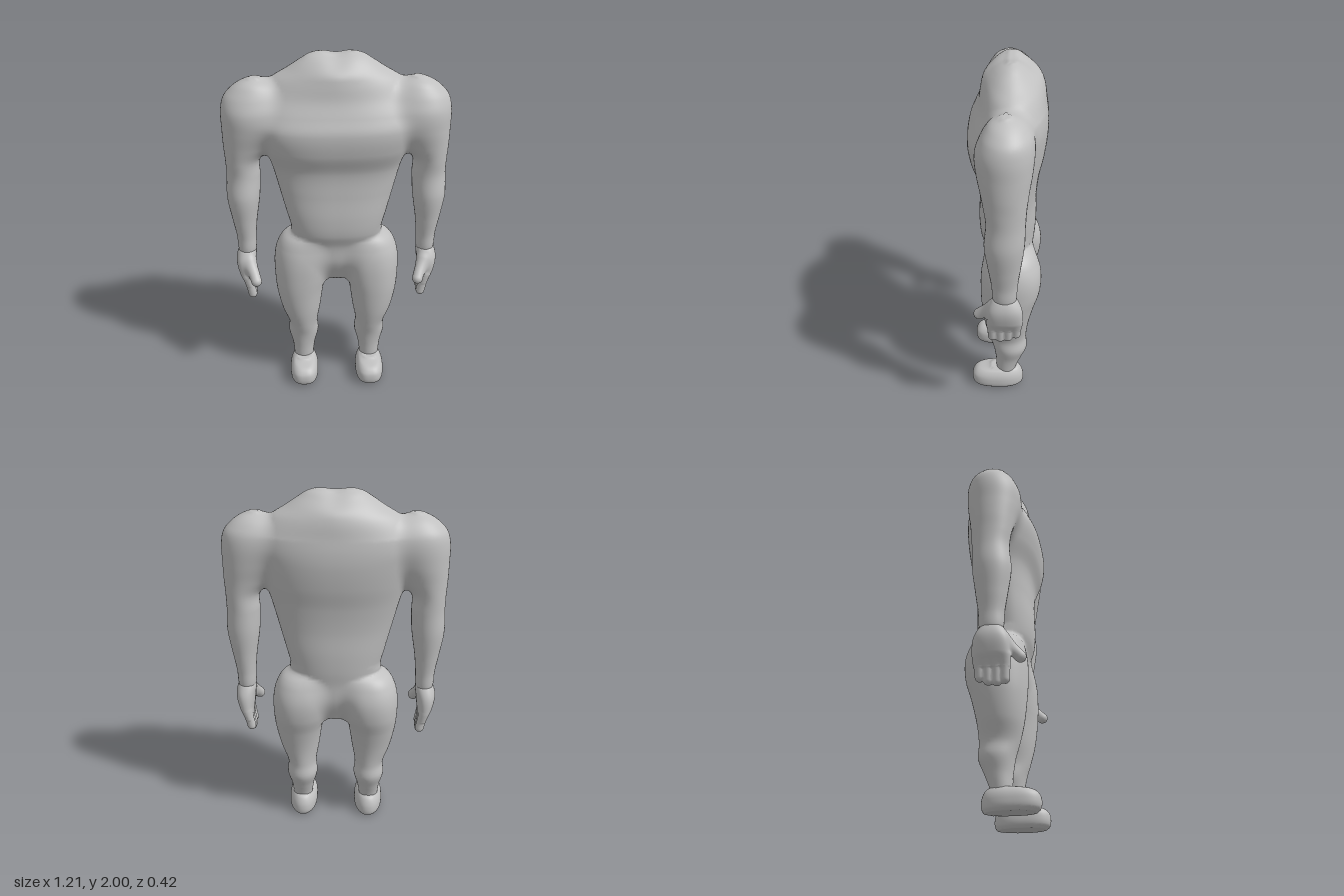
import * as THREE from 'three';

// Cross-sections, top to bottom: [y, centre x, half width, front z, back z, front squareness]
const TORSO = [
  [2.0, 0, 0.1, 0.01, -0.05, 2], [1.985, 0, 0.145, 0.045, -0.08, 2], [1.96, 0, 0.185, 0.08, -0.11, 2],
  [1.91, 0, 0.26, 0.125, -0.165, 1.8], [1.86, 0, 0.34, 0.14, -0.188, 1.8], [1.78, 0, 0.4, 0.155, -0.2, 2.1],
  [1.7, 0, 0.42, 0.185, -0.21, 2.6], [1.62, 0, 0.41, 0.212, -0.21, 2.9], [1.5, 0, 0.38, 0.2, -0.195, 2.8],
  [1.38, 0, 0.345, 0.16, -0.17, 2.6], [1.24, 0, 0.31, 0.155, -0.155, 2.5], [1.1, 0, 0.275, 0.16, -0.155, 2.5],
  [1.0, 0, 0.25, 0.152, -0.15, 2.5], [0.92, 0, 0.24, 0.125, -0.14, 2.4], [0.8, 0, 0.2, 0.11, -0.13, 2.2],
  [0.67, 0, 0.1, 0.05, -0.08, 2],
];
const ARM = [
  [1.87, 0.43, 0.03, 0.03, -0.025, 2], [1.845, 0.435, 0.075, 0.075, -0.07, 2], [1.815, 0.44, 0.11, 0.1, -0.1, 2],
  [1.77, 0.45, 0.138, 0.125, -0.125, 2], [1.7, 0.46, 0.145, 0.148, -0.135, 2], [1.6, 0.475, 0.13, 0.143, -0.13, 2],
  [1.5, 0.495, 0.108, 0.125, -0.115, 2], [1.42, 0.511, 0.087, 0.11, -0.105, 2], [1.33, 0.508, 0.088, 0.1, -0.1, 2],
  [1.2, 0.511, 0.09, 0.11, -0.095, 2], [1.05, 0.51, 0.068, 0.09, -0.075, 2], [0.95, 0.506, 0.055, 0.075, -0.062, 2],
  [0.86, 0.505, 0.05, 0.068, -0.055, 2], [0.83, 0.505, 0.035, 0.05, -0.04, 2],
];
const LEG = [
  [0.975, 0.17, 0.06, 0.06, -0.07, 2], [0.94, 0.178, 0.12, 0.11, -0.135, 2.2], [0.88, 0.185, 0.152, 0.135, -0.17, 2.2],
  [0.8, 0.195, 0.16, 0.148, -0.188, 2.2], [0.7, 0.205, 0.15, 0.15, -0.18, 2.2], [0.6, 0.212, 0.135, 0.145, -0.15, 2.1],
  [0.47, 0.208, 0.112, 0.13, -0.12, 2], [0.36, 0.198, 0.084, 0.105, -0.108, 2], [0.28, 0.197, 0.088, 0.082, -0.112, 2],
  [0.2, 0.197, 0.068, 0.07, -0.08, 2], [0.12, 0.198, 0.057, 0.065, -0.05, 2], [0.06, 0.198, 0.05, 0.06, -0.045, 2],
];
const PALM = [
  [0.88, 0.503, 0.03, 0.045, -0.035, 2.2], [0.86, 0.506, 0.05, 0.072, -0.058, 2.3], [0.8, 0.515, 0.055, 0.098, -0.085, 2.6],
  [0.72, 0.512, 0.043, 0.1, -0.09, 2.8], [0.68, 0.505, 0.03, 0.095, -0.085, 2.8], [0.655, 0.5, 0.02, 0.085, -0.075, 2.8],
];
const FOOT = [
  [0.125, 0.198, 0.048, 0.1, -0.055, 2.4], [0.115, 0.197, 0.062, 0.165, -0.07, 2.6], [0.09, 0.197, 0.077, 0.2, -0.085, 2.8],
  [0.06, 0.197, 0.083, 0.21, -0.093, 2.8], [0.02, 0.197, 0.08, 0.205, -0.092, 2.8], [0, 0.197, 0.065, 0.185, -0.08, 2.8],
];

// Smooth blend of two distances
function blend(a, b, k) {
  const h = Math.max(k - Math.abs(a - b), 0) / k;
  return Math.min(a, b) - h * h * k / 4;
}

// Approximate distance to a body lofted through the sections with smooth curves
function loft(rows, x, y, z) {
  const last = rows.length - 1;
  const yc = Math.min(Math.max(y, rows[last][0]), rows[0][0]);
  let i = 0;
  while (i < last - 1 && yc < rows[i + 1][0]) i++;
  const a = rows[i], b = rows[i + 1], p = rows[Math.max(i - 1, 0)], n = rows[Math.min(i + 2, last)];
  const span = b[0] - a[0], t = (yc - a[0]) / span;
  const at = (c) => {
    const ma = (b[c] - p[c]) / (b[0] - p[0]) * span, mb = (n[c] - a[c]) / (n[0] - a[0]) * span;
    return a[c] + t * (ma + t * (3 * (b[c] - a[c]) - 2 * ma - mb + t * (2 * (a[c] - b[c]) + ma + mb)));
  };
  const half = Math.max(at(2), 0.01), zf = at(3), zb = at(4);
  const mid = (zf + zb) / 2, deep = Math.max((zf - zb) / 2, 0.01);
  const e = z > mid ? at(5) : Math.min(at(5), 2.2);
  const q = (Math.abs((x - at(1)) / half) ** e + Math.abs((z - mid) / deep) ** e) ** (1 / e);
  return Math.max((q - 1) * Math.min(half, deep), y - rows[0][0], rows[last][0] - y);
}

// Distance to a round-ended rod
function rod(x, y, z, a, b, r) {
  const d = [b[0] - a[0], b[1] - a[1], b[2] - a[2]], v = [x - a[0], y - a[1], z - a[2]];
  const dot = (s, u) => s[0] * u[0] + s[1] * u[1] + s[2] * u[2];
  const t = Math.min(Math.max(dot(v, d) / dot(d, d), 0), 1);
  return Math.hypot(v[0] - d[0] * t, v[1] - d[1] * t, v[2] - d[2] * t) - r;
}

// Torso with a shallow hollow in the neck stump
function torso(x, y, z) {
  const s = THREE.MathUtils.smoothstep(y, 1.88, 1.99);
  return loft(TORSO, x, y + 0.014 * s * Math.exp(-((x / 0.06) ** 2)), z);
}
const body = (x, y, z) => {
  const m = Math.abs(x);
  return blend(blend(torso(x, y, z), loft(ARM, m, y, z), 0.08), loft(LEG, m, y, z), 0.05);
};
const bodyPart = (x, y, z) => {
  const m = Math.abs(x), t = torso(x, y, z), a = loft(ARM, m, y, z), l = loft(LEG, m, y, z);
  if (t < a && t < l) return 'torso';
  return side(x) + (a < l ? 'Arm' : 'Leg');
};
const side = (x) => (x > 0 ? 'left' : 'right');

const hand = (x, y, z) => {
  const m = Math.abs(x);
  let d = loft(PALM, m, y, z);
  [[-0.056, 0.61], [-0.011, 0.59], [0.034, 0.585], [0.077, 0.595]].forEach(([fz, tip]) => {
    d = blend(d, rod(m, y, z, [0.507, 0.71, fz], [0.485, tip, fz * 0.95], 0.025), 0.012);
  });
  return blend(d, rod(m, y, z, [0.487, 0.8, 0.07], [0.455, 0.722, 0.146], 0.03), 0.03);
};
const foot = (x, y, z) => loft(FOOT, Math.abs(x), y, z);

// Skins a distance field with quads and sorts them into named parts
function skin(group, field, lo, hi, step, partOf, material) {
  const n = lo.map((v, k) => Math.ceil((hi[k] - v) / step) + 1);
  const stride = [1, n[0], n[0] * n[1]];
  const val = new Float32Array(n[0] * n[1] * n[2]), cell = new Int32Array(val.length).fill(-1);
  const each = (from, fn) => {
    for (let k = from; k < n[2] - 1; k++) for (let j = from; j < n[1] - 1; j++)
      for (let i = from; i < n[0] - 1; i++) fn([i, j, k], i + j * stride[1] + k * stride[2]);
  };
  for (let k = 0, id = 0; k < n[2]; k++) for (let j = 0; j < n[1]; j++) for (let i = 0; i < n[0]; i++)
    val[id++] = field(lo[0] + i * step, lo[1] + j * step, lo[2] + k * step);

  const slope = (p) => {
    const h = step * 0.4;
    return [0, 1, 2].map((c) => {
      const a = [...p], b = [...p];
      a[c] += h; b[c] -= h;
      return (field(...a) - field(...b)) / (2 * h);
    });
  };
  // One point for each cell that the surface crosses, pulled onto the surface
  const points = [], normals = [];
  each(0, (c, id) => {
    const sum = [0, 0, 0];
    let hits = 0;
    for (let q = 0; q < 8; q++) for (let a = 0; a < 3; a++) {
      if (q >> a & 1) continue;
      const o = [q & 1, q >> 1 & 1, q >> 2 & 1];
      const s = id + o[0] + o[1] * stride[1] + o[2] * stride[2];
      const v0 = val[s], v1 = val[s + stride[a]];
      if ((v0 < 0) === (v1 < 0)) continue;
      o[a] += v0 / (v0 - v1);
      o.forEach((v, k) => { sum[k] += v; });
      hits++;
    }
    if (!hits) return;
    let p = sum.map((v, k) => lo[k] + (c[k] + v / hits) * step);
    for (let r = 0; r < 3; r++) {
      const g = slope(p), gg = Math.max(g[0] ** 2 + g[1] ** 2 + g[2] ** 2, 0.05);
      const limit = step * 0.3 / Math.sqrt(gg);
      const f = THREE.MathUtils.clamp(field(...p) / gg, -limit, limit);
      p = p.map((v, k) => v - g[k] * f);
    }
    const g = slope(p), len = Math.hypot(...g) || 1;
    cell[id] = points.length;
    points.push(p);
    normals.push(g.map((v) => v / len));
  });

  const parts = {};
  each(1, (c, id) => {
    for (let a = 0; a < 3; a++) {
      const v0 = val[id] < 0, v1 = val[id + stride[a]] < 0;
      if (v0 === v1) continue;
      const u = stride[(a + 1) % 3], w = stride[(a + 2) % 3];
      const quad = [id - u - w, id - w, id, id - u].map((s) => cell[s]);
      if (!v0) quad.reverse();
      const name = partOf(...points[quad[0]]);
      const part = parts[name] ??= { map: new Map(), index: [] };
      const ids = quad.map((v) => {
        if (!part.map.has(v)) part.map.set(v, part.map.size);
        return part.map.get(v);
      });
      part.index.push(ids[0], ids[1], ids[2], ids[0], ids[2], ids[3]);
    }
  });
  for (const [name, part] of Object.entries(parts)) {
    const used = [...part.map.keys()], geometry = new THREE.BufferGeometry();
    geometry.setAttribute('position', new THREE.Float32BufferAttribute(used.flatMap((v) => points[v]), 3));
    geometry.setAttribute('normal', new THREE.Float32BufferAttribute(used.flatMap((v) => normals[v]), 3));
    geometry.setIndex(part.index);
    const mesh = new THREE.Mesh(geometry, material);
    mesh.name = name;
    group.add(mesh);
  }
}

export function createModel() {
  const model = new THREE.Group();
  model.name = 'headlessFigure';
  const grey = new THREE.MeshStandardMaterial({ color: 0xc0c0c0 });
  grey.name = 'plain grey';
  // Torso, arms and legs share one blended skin; hands and feet are finer
  skin(model, body, [-0.666, 0.02, -0.27], [0.666, 2.06, 0.27], 0.018, bodyPart, grey);
  skin(model, hand, [-0.612, 0.53, -0.12], [0.612, 0.91, 0.21], 0.009, (x) => side(x) + 'Hand', grey);
  skin(model, foot, [-0.312, -0.03, -0.13], [0.312, 0.16, 0.25], 0.012, (x) => side(x) + 'Foot', grey);
  return model;
}
